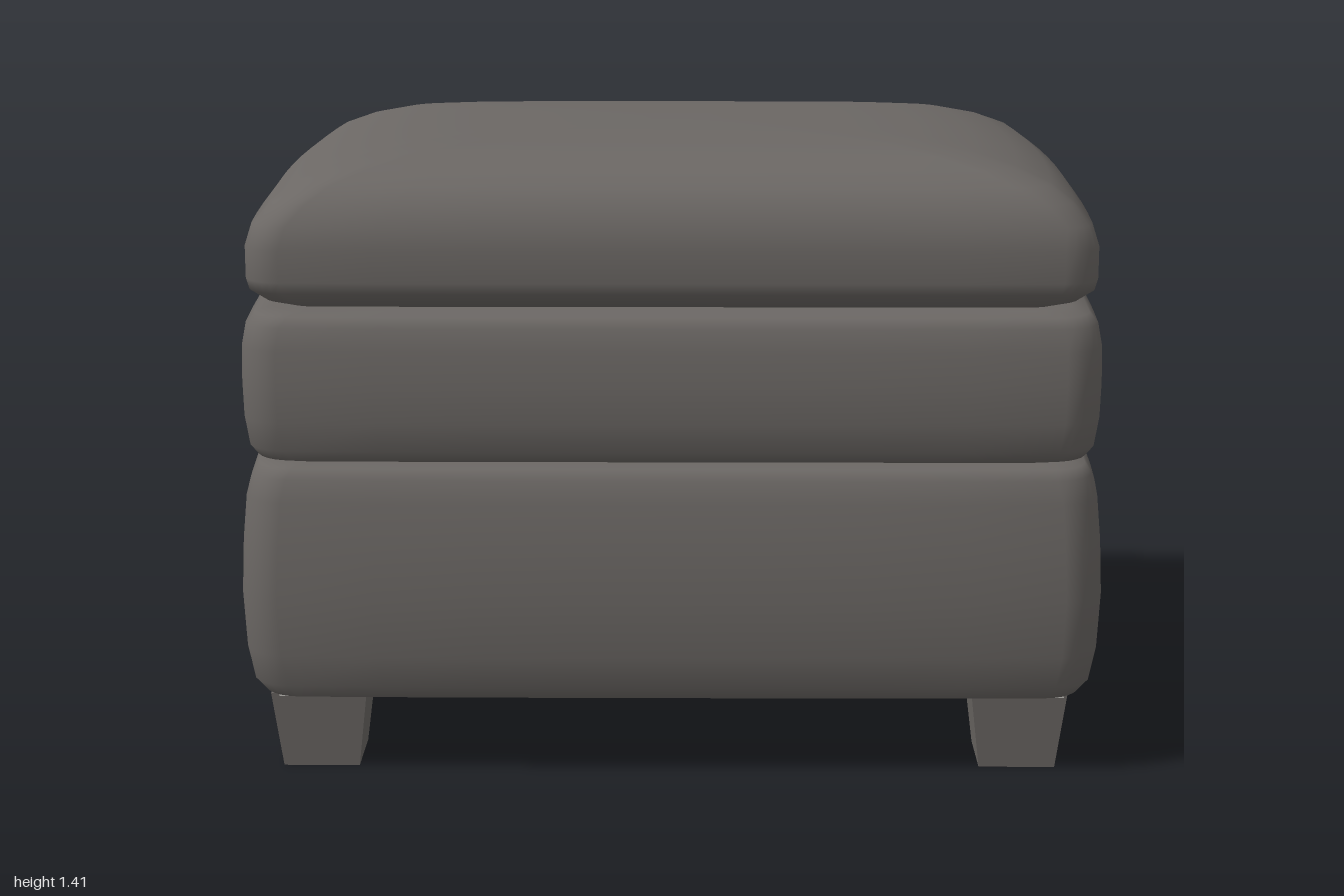
import * as THREE from 'three';

// Outline of a bowed rounded rectangle, walked from +x towards +z
function ring(y, hx, hz, bow) {
  const r = Math.min(0.08, hx * 0.3, hz * 0.3), pts = [];
  const corners = [[1, 1, 0], [-1, 1, 1], [-1, -1, 2], [1, -1, 3]];
  const arc = 6, side = 8;
  corners.forEach(([sx, sz, q], k) => {
    const at = (c, a) => [c[0] * (hx - r) + r * Math.cos(a), c[1] * (hz - r) + r * Math.sin(a)];
    for (let i = 0; i <= arc; i++) pts.push(at([sx, sz], (q + i / arc) * Math.PI / 2));
    const end = pts[pts.length - 1];
    const next = at(corners[(k + 1) % 4], (q + 1) * Math.PI / 2);
    for (let i = 1; i < side; i++) {
      const t = i / side;
      pts.push([end[0] + (next[0] - end[0]) * t, end[1] + (next[1] - end[1]) * t]);
    }
  });
  // sides swell outwards in the middle
  return pts.map(([x, z]) => [
    x * (1 - bow * (z / hz) ** 2), y, z * (1 - bow * 0.6 * (x / hx) ** 4)]);
}

// Skin a stack of [y, halfWidth, halfDepth, bow] sections and close both ends
function cushion(name, sections, material) {
  const pos = [], idx = [];
  const rings = sections.map(s => ring(...s));
  const n = rings[0].length;
  rings.forEach(r => r.forEach(p => pos.push(...p)));
  for (let j = 0; j < rings.length - 1; j++) {
    for (let i = 0; i < n; i++) {
      const a = j * n + i, b = j * n + (i + 1) % n;
      idx.push(a, a + n, b, b, a + n, b + n);
    }
  }
  const bottom = pos.length / 3, top = bottom + 1, last = (rings.length - 1) * n;
  pos.push(0, sections[0][0], 0, 0, sections[sections.length - 1][0], 0);
  for (let i = 0; i < n; i++) {
    const k = (i + 1) % n;
    idx.push(bottom, i, k, top, last + k, last + i);
  }
  const geo = new THREE.BufferGeometry();
  geo.setAttribute('position', new THREE.Float32BufferAttribute(pos, 3));
  geo.setIndex(idx);
  geo.computeVertexNormals();
  const mesh = new THREE.Mesh(geo, material);
  mesh.name = name;
  return mesh;
}

export function createModel() {
  const group = new THREE.Group();
  group.name = 'footstool';
  const leather = new THREE.MeshStandardMaterial({ color: 0x6b6764 });
  leather.name = 'warm grey leather';
  const lining = new THREE.MeshStandardMaterial({ color: 0xc0bfba });
  lining.name = 'pale grey lining';

  // Tall padded base
  group.add(cushion('baseCushion', [
    [0.178, 0.84, 0.56, 0], [0.177, 0.90, 0.625, 0.01], [0.185, 0.935, 0.65, 0.02],
    [0.215, 0.965, 0.67, 0.03], [0.29, 0.99, 0.69, 0.045], [0.42, 1.0, 0.7, 0.05],
    [0.54, 0.995, 0.693, 0.05], [0.64, 0.978, 0.68, 0.04], [0.69, 0.957, 0.665, 0.03],
    [0.712, 0.935, 0.648, 0.02], [0.72, 0.89, 0.61, 0.01], [0.72, 0.80, 0.54, 0],
  ], leather));

  // Thin lining panel under the base
  const panel = new THREE.Mesh(new THREE.BoxGeometry(1.77, 0.005, 1.22), lining);
  panel.name = 'undersidePanel';
  panel.position.y = 0.1765;
  group.add(panel);

  // Middle cushion
  group.add(cushion('middleCushion', [
    [0.718, 0.80, 0.54, 0], [0.72, 0.89, 0.61, 0.01], [0.73, 0.935, 0.645, 0.02],
    [0.755, 0.96, 0.665, 0.03], [0.82, 0.973, 0.677, 0.035], [0.9, 0.975, 0.68, 0.035],
    [0.98, 0.97, 0.672, 0.03], [1.03, 0.957, 0.662, 0.025], [1.052, 0.935, 0.645, 0.02],
    [1.062, 0.89, 0.61, 0.01], [1.064, 0.80, 0.54, 0],
  ], leather));

  // Domed seat cushion with a tucked-in underside
  group.add(cushion('seatCushion', [
    [1.062, 0.78, 0.50, 0], [1.064, 0.86, 0.58, 0], [1.078, 0.905, 0.62, 0.01],
    [1.105, 0.94, 0.652, 0.015], [1.13, 0.95, 0.66, 0.02], [1.2, 0.95, 0.66, 0.02],
    [1.25, 0.938, 0.652, 0.025], [1.295, 0.905, 0.63, 0.035], [1.33, 0.86, 0.60, 0.04],
    [1.36, 0.79, 0.55, 0.05], [1.383, 0.70, 0.485, 0.06], [1.398, 0.58, 0.39, 0.07],
    [1.405, 0.42, 0.27, 0.08], [1.409, 0.2, 0.12, 0.08],
  ], leather));

  // Four tapered square legs
  const legGeo = new THREE.CylinderGeometry(0.108 * Math.SQRT2, 0.086 * Math.SQRT2, 0.18, 4)
    .rotateY(Math.PI / 4).toNonIndexed();
  legGeo.computeVertexNormals();
  for (const [side, x] of [['Left', 0.785], ['Right', -0.797]]) {
    for (const [end, z] of [['front', 0.497], ['back', -0.5]]) {
      const leg = new THREE.Mesh(legGeo, leather);
      leg.name = `${end}${side}Leg`;
      leg.position.set(x, 0.09, z);
      group.add(leg);
    }
  }
  return group;
}
